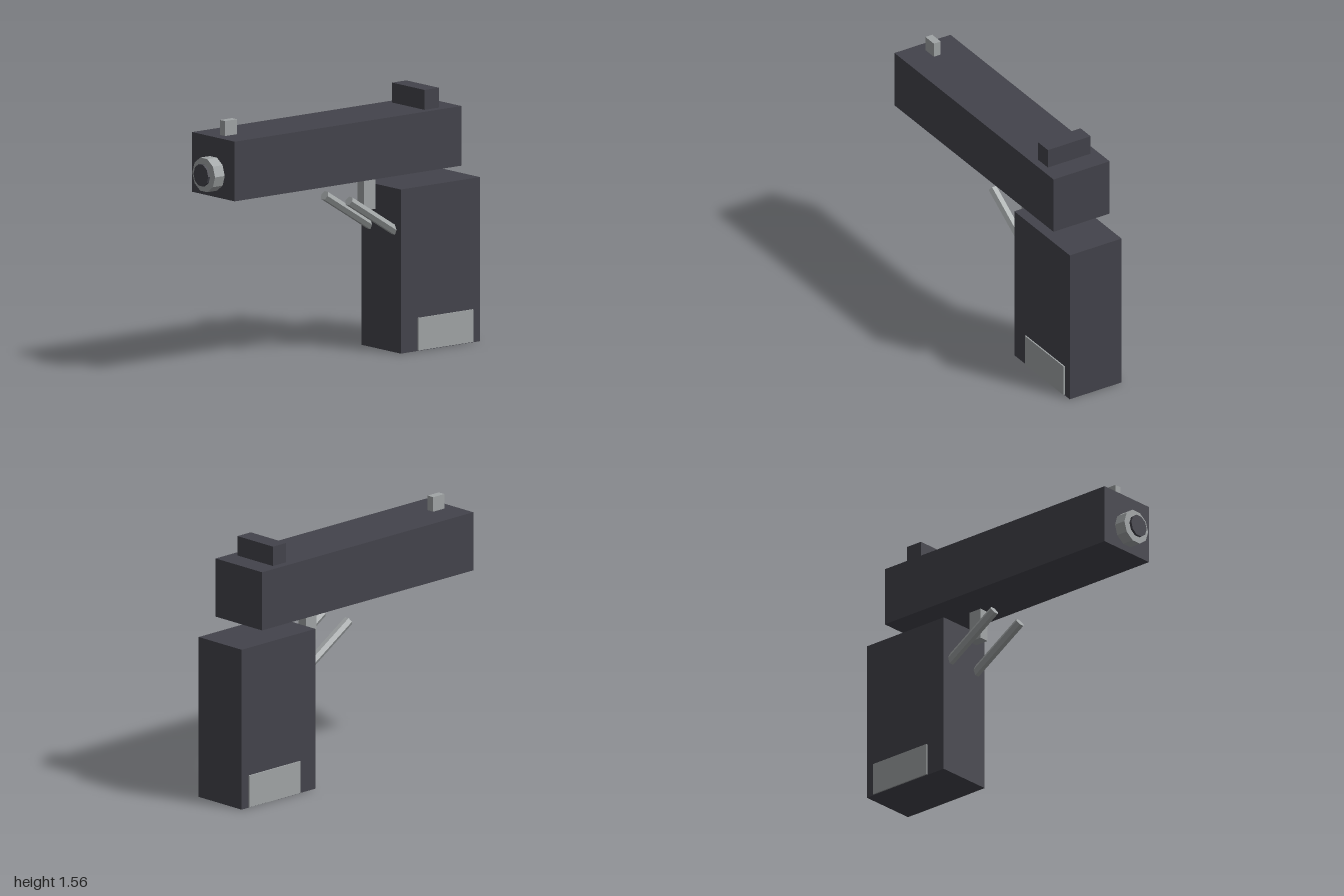
import * as THREE from 'three';

export function createModel() {
  const group = new THREE.Group();
  const dark = new THREE.MeshStandardMaterial({ color: 0x43434b, flatShading: true });
  dark.name = 'charcoal';
  const metal = new THREE.MeshStandardMaterial({ color: 0xa0a4a5, flatShading: true });
  metal.name = 'light grey metal';

  const add = (name, geometry, material) => {
    const mesh = new THREE.Mesh(geometry, material);
    mesh.name = name;
    group.add(mesh);
    return mesh;
  };
  // Box given by its limits on each axis
  const box = (name, material, [x0, x1], [y0, y1], [z0, z1]) =>
    add(name, new THREE.BoxGeometry(x1 - x0, y1 - y0, z1 - z0), material)
      .position.set((x0 + x1) / 2, (y0 + y1) / 2, (z0 + z1) / 2);
  // Faceted cylinder with a corner on the x axis, its axis tilted from y towards +z
  const rod = (radius, length, sides, tilt) =>
    new THREE.CylinderGeometry(radius, radius, length, sides).rotateY(Math.PI / 2).rotateX(tilt);

  // Upper body and sights
  box('slide', dark, [-0.197, 0.197], [1.08, 1.44], [-0.845, 0.903]);
  box('rearSight', dark, [-0.15, 0.15], [1.44, 1.56], [-0.71, -0.6]);
  box('frontSight', metal, [-0.024, 0.024], [1.44, 1.53], [0.74, 0.833]);

  // Muzzle ring and bore disc
  add('muzzle', rod(0.105, 0.08, 10, Math.PI / 2), metal).position.set(0, 1.22, 0.938);
  add('bore', rod(0.068, 0.015, 10, Math.PI / 2), dark).position.set(0, 1.22, 0.9925);

  // Grip and trigger
  box('grip', dark, [-0.182, 0.182], [0, 0.99], [-1, -0.39]);
  box('trigger', metal, [-0.031, 0.031], [0.86, 1.05], [-0.32, -0.232]);

  // Side plates and sloping guard rods
  const tilt = THREE.MathUtils.degToRad(58);
  const length = 0.5;
  for (const [side, s] of [['left', 1], ['right', -1]]) {
    const x = s * 0.186;
    box(side + 'GripPlate', metal, [x - 0.0045, x + 0.0045], [0.004, 0.2], [-0.945, -0.52]);
    add(side + 'GuardRod', rod(0.03, length, 6, tilt), metal).position.set(
      s * 0.113, 0.953 - Math.cos(tilt) * length / 2, -0.048 - Math.sin(tilt) * length / 2);
  }
  return group;
}
